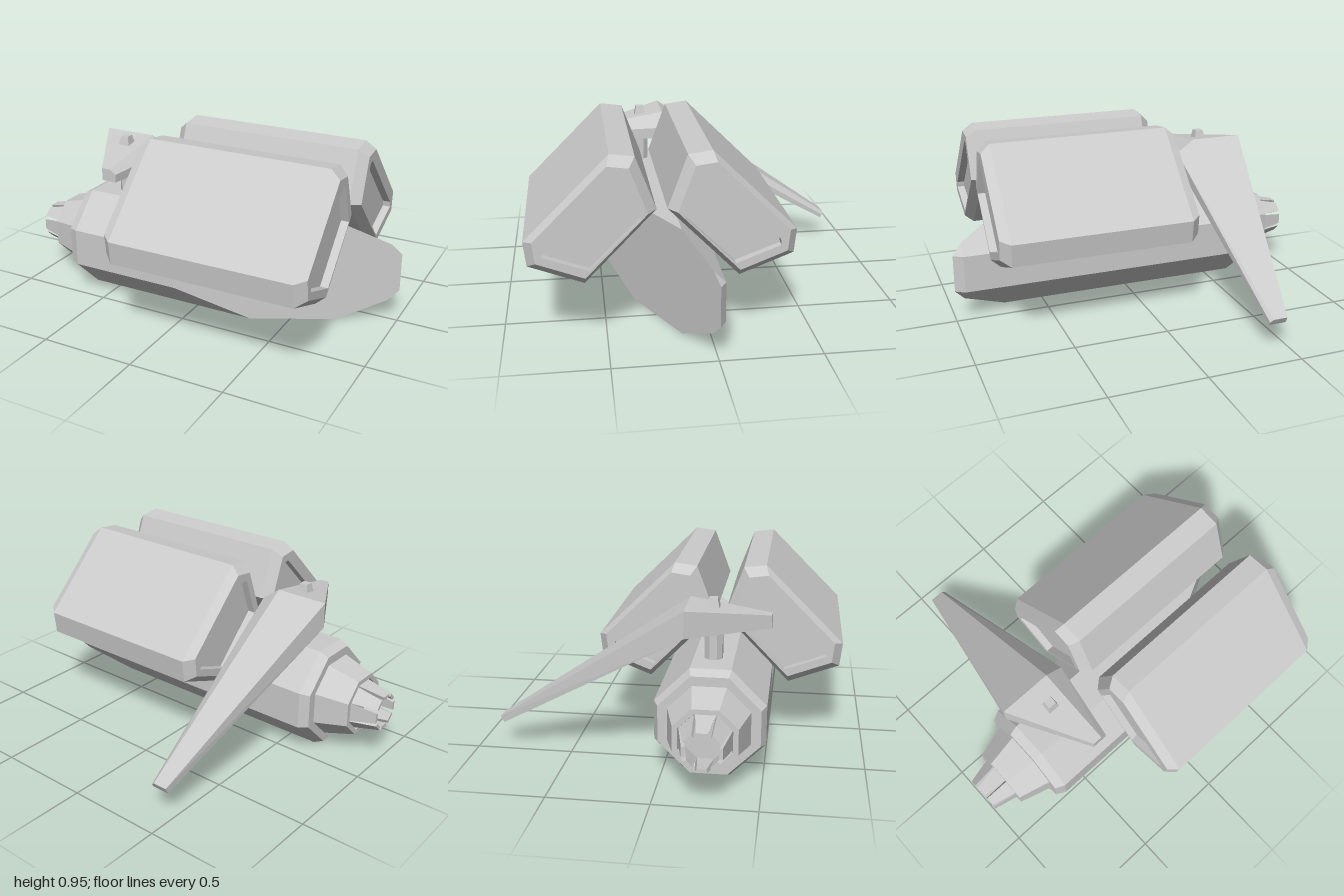
import * as THREE from 'three';
import { ConvexGeometry } from 'three/addons/geometries/ConvexGeometry.js';

const material = new THREE.MeshStandardMaterial({ color: 0xcccccc, flatShading: true });
const CY = 0.274, CZ = 0.237; // long axis of the hull

function add(parent, name, geometry) {
  const mesh = new THREE.Mesh(geometry, material);
  mesh.name = name;
  parent.add(mesh);
  return mesh;
}

const hull = (points) => new ConvexGeometry(points.map((p) => new THREE.Vector3(...p)));

// Closed faceted skin through rings { x, pts: [[z, y], ...] }, ordered along x
function loft(rings) {
  const pos = [];
  const n = rings[0].pts.length;
  const put = (r, i) => pos.push(r.x, r.pts[i % n][1], r.pts[i % n][0]);
  for (let k = 0; k < rings.length - 1; k++) {
    const a = rings[k], b = rings[k + 1];
    for (let i = 0; i < n; i++) {
      put(a, i); put(b, i); put(b, i + 1);
      put(a, i); put(b, i + 1); put(a, i + 1);
    }
  }
  const last = rings[rings.length - 1];
  for (let i = 1; i < n - 1; i++) {
    put(rings[0], 0); put(rings[0], i); put(rings[0], i + 1);
    put(last, 0); put(last, i + 1); put(last, i);
  }
  const g = new THREE.BufferGeometry();
  g.setAttribute('position', new THREE.Float32BufferAttribute(pos, 3));
  g.computeVertexNormals();
  return g;
}

// Octagon [z, y] with flat sides, around the hull axis
function octagon(apothem, half = apothem * 0.414) {
  const a = apothem, h = half;
  return [[h, a], [-h, a], [-a, h], [-a, -h], [-h, -a], [h, -a], [a, -h], [a, h]]
    .map(([z, y]) => [CZ + z, CY + y]);
}

// Octagonal hull, sliced diagonally at its +x end
function makeHull() {
  const cutX = (z) => -0.04 + (0.51 - z) / 0.495;
  const points = [];
  octagon(0.25, 0.092).forEach(([z, y]) => points.push([-0.7, y, z]));
  octagon(0.274, 0.1).forEach(([z, y]) => {
    points.push([-0.65, y, z], [Math.min(cutX(z), 0.95), y, z]);
  });
  for (const s of [-1, 1]) {
    points.push([0.95, CY + s * 0.157, 0.51 - 0.495 * 0.99]);
    points.push([1, CY + s * 0.1, 0.51 - 0.495 * 1.04]);
  }
  return hull(points);
}

// Side pod with bevelled ends and a recessed panel in each end
function makePod(mirrored) {
  const outer = [[0.47, 0.95], [0.355, 0.935], [0.26, 0.68], [0.6, 0.33], [0.86, 0.43], [0.873, 0.55]];
  const inner = [[0.44, 0.86], [0.41, 0.855], [0.335, 0.65], [0.575, 0.41], [0.79, 0.49], [0.785, 0.52]];
  const bevel = outer.map(([z, y]) => [0.57 + (z - 0.57) * 0.86, 0.645 + (y - 0.645) * 0.86]);
  const side = (pts) => (mirrored ? pts.map(([z, y]) => [2 * 0.235 - z, y]).reverse() : pts);
  const [o, b, i] = [outer, bevel, inner].map(side);
  const x0 = -0.23, x1 = 0.825;
  return loft([
    { x: x0 + 0.04, pts: i }, { x: x0, pts: i }, { x: x0, pts: b }, { x: x0 + 0.05, pts: o },
    { x: x1 - 0.05, pts: o }, { x: x1, pts: b }, { x: x1, pts: i }, { x: x1 - 0.04, pts: i },
  ]);
}

export function createModel() {
  const model = new THREE.Group();
  model.name = 'model';

  add(model, 'hull', makeHull());
  add(model, 'frontPod', makePod(false));
  add(model, 'rearPod', makePod(true));

  // Nozzle housing with an open mouth
  add(model, 'nozzle', loft([
    { x: -0.83, pts: octagon(0.12) }, { x: -0.87, pts: octagon(0.13) },
    { x: -0.87, pts: octagon(0.155) }, { x: -0.69, pts: octagon(0.205) },
  ]));

  // Ring of tapering nozzle petals
  const petals = new THREE.Group();
  petals.name = 'nozzlePetals';
  petals.position.set(0, CY, CZ);
  model.add(petals);
  const petal = [];
  for (const s of [-1, 1]) {
    petal.push([-0.84, 0.128, s * 0.05], [-0.84, 0.1, s * 0.04]);
    petal.push([-1, 0.095, s * 0.028], [-1, 0.078, s * 0.022]);
  }
  const petalGeometry = hull(petal);
  for (let i = 0; i < 8; i++) add(petals, 'petal', petalGeometry).rotation.x = (i * Math.PI) / 4;

  // Mast carrying the wing
  const mast = add(model, 'mast', new THREE.CylinderGeometry(0.048, 0.048, 0.2, 8));
  mast.position.set(-0.475, 0.62, 0.235);
  mast.rotation.y = Math.PI / 8;

  // Wing: short pointed nose and a long drooping blade sharing one root section
  const root = [[-0.68, 0.835, 0.11], [-0.4, 0.835, 0.11], [-0.305, 0.765, 0.11],
    [-0.305, 0.7, 0.11], [-0.68, 0.7, 0.11]];
  add(model, 'wingNose', hull([...root, [-0.45, 0.765, 0.515], [-0.4, 0.765, 0.515],
    [-0.37, 0.74, 0.515], [-0.37, 0.7, 0.515], [-0.45, 0.7, 0.515]]));
  add(model, 'wingBlade', hull([...root, [-0.48, 0.17, -0.877], [-0.405, 0.17, -0.877],
    [-0.388, 0.155, -0.87], [-0.388, 0.137, -0.86], [-0.48, 0.137, -0.86]]));

  // Small stud on top of the wing
  const stud = add(model, 'stud', new THREE.CylinderGeometry(0.03, 0.048, 0.06, 4));
  stud.geometry.rotateY(Math.PI / 4);
  stud.position.set(-0.483, 0.826, 0.232);

  return model;
}
